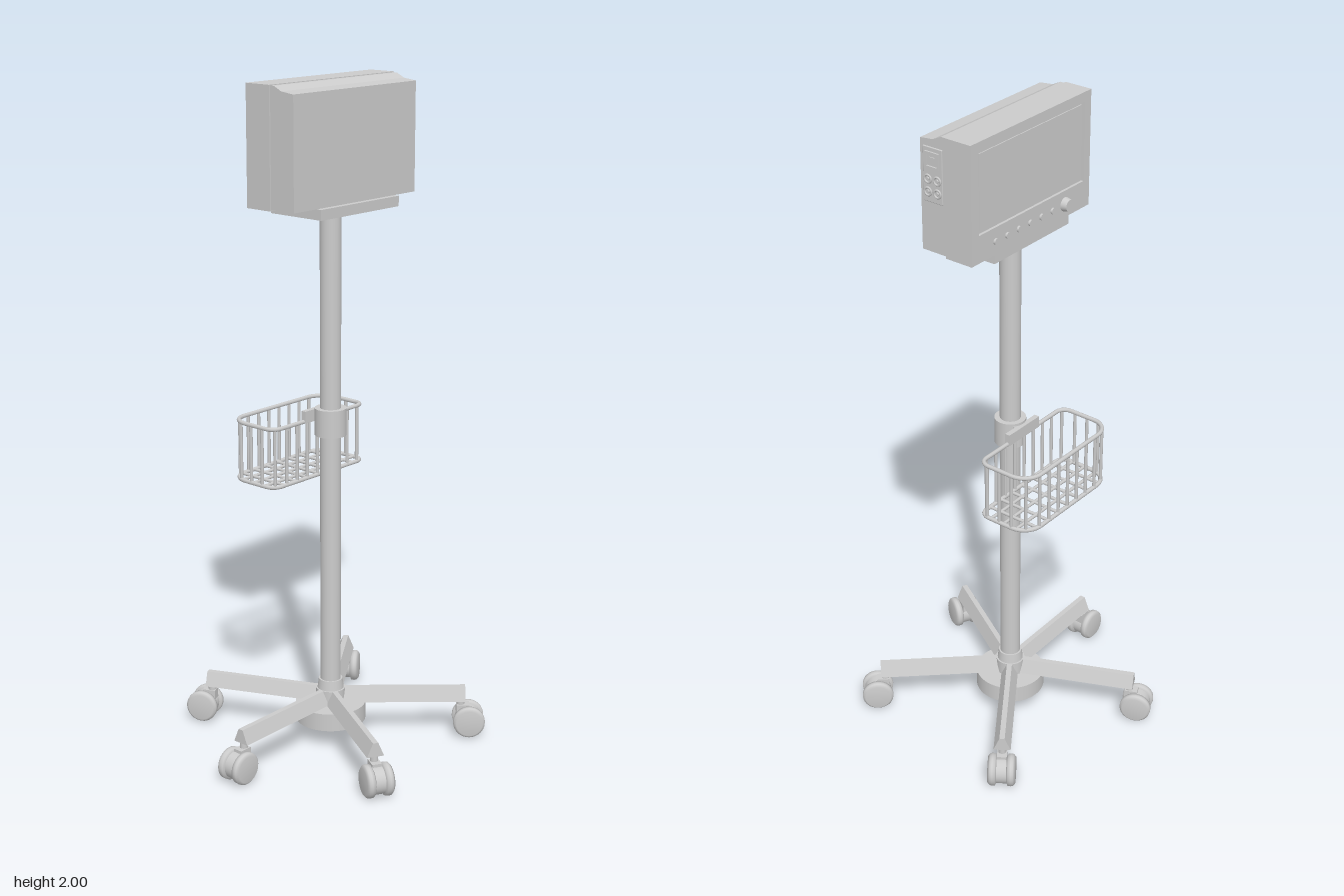
import * as THREE from 'three';
import { RoundedBoxGeometry } from 'three/addons/geometries/RoundedBoxGeometry.js';

const grey = new THREE.MeshStandardMaterial({ color: 0xcccccc });

function add(parent, name, geometry, x = 0, y = 0, z = 0) {
  const mesh = new THREE.Mesh(geometry, grey);
  mesh.name = name;
  mesh.position.set(x, y, z);
  parent.add(mesh);
  return mesh;
}

function group(parent, name) {
  const g = new THREE.Group();
  g.name = name;
  parent.add(g);
  return g;
}

const box = (w, h, d) => new THREE.BoxGeometry(w, h, d);
const cyl = (r, h, n = 32, rTop = r) => new THREE.CylinderGeometry(rTop, r, h, n);

// Extrudes a [z, y] outline across x, centred
function extrudeAcross(outline, width) {
  const shape = new THREE.Shape(outline.map(([z, y]) => new THREE.Vector2(z, y)));
  const g = new THREE.ExtrudeGeometry(shape, { depth: width, bevelEnabled: false });
  return g.translate(0, 0, -width / 2).rotateY(-Math.PI / 2);
}

function rect(path, x0, y0, x1, y1) {
  path.moveTo(x0, y0).lineTo(x1, y0).lineTo(x1, y1).lineTo(x0, y1).closePath();
  return path;
}

// Straight round wire between two points
function wire(parent, name, a, b, r) {
  const curve = new THREE.LineCurve3(new THREE.Vector3(...a), new THREE.Vector3(...b));
  add(parent, name, new THREE.TubeGeometry(curve, 1, r, 8));
}

// Twin-wheel caster, rolling along local z
function caster(parent, z) {
  const c = group(parent, 'caster');
  c.position.set(0, 0.05, z);
  add(c, 'casterStem', cyl(0.012, 0.06, 16), 0, 0.05, -0.025);
  add(c, 'casterHood', cyl(0.041, 0.03).rotateZ(Math.PI / 2));
  add(c, 'casterNeck', box(0.03, 0.03, 0.04), 0, 0.035, -0.018);
  const profile = [[0, -0.014], [0.036, -0.014], [0.048, -0.009], [0.049, 0],
    [0.048, 0.007], [0.04, 0.014], [0, 0.014]].map(p => new THREE.Vector2(...p));
  for (const side of [-1, 1]) {
    const wheel = add(c, 'wheel', new THREE.LatheGeometry(profile, 32), side * 0.028);
    wheel.rotation.z = -side * Math.PI / 2;
  }
}

function buildStand(model) {
  const stand = group(model, 'stand');
  stand.position.z = 0.012;
  add(stand, 'hubDisc', cyl(0.107, 0.055, 48), 0, 0.0875);
  add(stand, 'hubCore', cyl(0.045, 0.05), 0, 0.135);
  add(stand, 'baseCollar', cyl(0.04, 0.03, 32, 0.036), 0, 0.175);
  add(stand, 'pole', cyl(0.031, 1.54), 0, 0.87);
  add(stand, 'clampCollar', cyl(0.047, 0.082), 0, 1.007);

  // Five ridged legs: wheel centre of each as [x, z]
  const feet = [[-0.078, -0.405], [0.402, -0.137], [0.25, 0.338], [-0.16, 0.378], [-0.412, 0.008]];
  for (const [x, z] of feet) {
    const leg = group(stand, 'leg');
    leg.rotation.y = Math.atan2(x, z);
    const reach = Math.hypot(x, z);
    const ridge = new THREE.Shape([[-0.026, 0.117], [0.026, 0.117], [0.008, 0.16], [-0.008, 0.16]]
      .map(p => new THREE.Vector2(...p)));
    add(leg, 'legBeam', new THREE.ExtrudeGeometry(ridge, { depth: reach - 0.012, bevelEnabled: false }));
    caster(leg, reach);
  }
}

function buildBasket(parent) {
  const basket = group(parent, 'basket');
  const W = 0.197, Z0 = 0.05, Z1 = 0.225, R = 0.06, r0 = 0.03, low = 0.832, high = 1.008;

  // Rounded plan outline
  const plan = new THREE.Shape();
  plan.moveTo(-W + r0, Z0).lineTo(W - r0, Z0);
  plan.absarc(W - r0, Z0 + r0, r0, -Math.PI / 2, 0);
  plan.lineTo(W, Z1 - R).absarc(W - R, Z1 - R, R, 0, Math.PI / 2);
  plan.lineTo(-W + R, Z1).absarc(-W + R, Z1 - R, R, Math.PI / 2, Math.PI);
  plan.lineTo(-W, Z0 + r0).absarc(-W + r0, Z0 + r0, r0, Math.PI, Math.PI * 1.5);

  // Rims
  const loop = plan.getSpacedPoints(72).slice(0, 72);
  const curve = new THREE.CatmullRomCurve3(loop.map(p => new THREE.Vector3(p.x, 0, p.y)), true);
  for (const y of [low, high]) {
    add(basket, 'basketRim', new THREE.TubeGeometry(curve, 120, 0.0065, 8, true), 0, y);
  }
  // Side wires
  for (let i = 0; i < 72; i += 3) {
    const p = loop[i];
    wire(basket, 'sideWire', [p.x, low, p.y], [p.x, high, p.y], 0.005);
  }
  // Floor grid, trimmed to the rounded outer corners
  const trim = (v, edge) => {
    const t = Math.max(0, v - (edge - R));
    return R - Math.sqrt(R * R - t * t);
  };
  for (let i = -3; i <= 3; i++) {
    const x = i * 0.05;
    wire(basket, 'floorWire', [x, low, Z0], [x, low, Z1 - trim(Math.abs(x), W)], 0.005);
  }
  for (const z of [0.09, 0.135, 0.18]) {
    const x = W - trim(z, Z1);
    wire(basket, 'floorWire', [-x, low, z], [x, low, z], 0.005);
  }
  // Bracket to the pole
  add(basket, 'basketBracket', box(0.14, 0.036, 0.016), 0, 1.022, 0.05);
  add(basket, 'bracketArm', box(0.05, 0.036, 0.05), 0, 1.022, 0.025);
}

function buildMonitor(parent) {
  const monitor = group(parent, 'monitor');
  const front = 0.082, bottom = 1.658, frameDepth = 0.008;

  // Rear housing with stepped top, front housing
  add(monitor, 'rearHousing', extrudeAcross([[-0.091, bottom + 0.004], [-0.005, bottom + 0.004],
    [-0.005, 1.998], [-0.02, 1.998], [-0.047, 1.985], [-0.091, 1.98]], 0.512));
  add(monitor, 'frontHousing', extrudeAcross([[-0.006, bottom], [front - frameDepth, bottom],
    [front - frameDepth, 2], [-0.006, 2]], 0.52));

  // Screen frame leaves the display recessed
  const frame = rect(new THREE.Shape(), -0.26, bottom, 0.26, 2);
  frame.holes.push(rect(new THREE.Path(), -0.228, 1.738, 0.232, 1.972));
  add(monitor, 'screenFrame', new THREE.ExtrudeGeometry(frame, { depth: frameDepth, bevelEnabled: false }),
    0, 0, front - frameDepth);
  add(monitor, 'screen', box(0.444, 0.218, 0.004), 0.002, 1.855, front - frameDepth + 0.001);

  // Buttons and dial
  for (let i = 0; i < 6; i++) {
    add(monitor, 'button', cyl(0.009, 0.008, 16).rotateX(Math.PI / 2), -0.16 + i * 0.05, 1.698, front + 0.002);
  }
  add(monitor, 'dial', cyl(0.021, 0.02, 32, 0.017).rotateX(Math.PI / 2), 0.147, 1.698, front + 0.008);

  // Connector panel on the end
  const panel = group(monitor, 'connectorPanel');
  panel.position.set(-0.257, 1.885, -0.047);
  add(panel, 'panelPlate', new RoundedBoxGeometry(0.006, 0.155, 0.066, 2, 0.002));
  const ringFrame = rect(new THREE.Shape(), -0.024, 0.02, 0.024, 0.066);
  ringFrame.holes.push(rect(new THREE.Path(), -0.018, 0.026, 0.018, 0.06));
  add(panel, 'socketFrame', new THREE.ExtrudeGeometry(ringFrame, { depth: 0.006, bevelEnabled: false })
    .rotateY(-Math.PI / 2), -0.002);
  add(panel, 'socket', box(0.006, 0.016, 0.016), -0.003, 0.043, 0);
  for (const y of [-0.012, -0.048]) {
    for (const z of [-0.016, 0.016]) {
      add(panel, 'portRing', new THREE.TorusGeometry(0.011, 0.003, 8, 24).rotateY(Math.PI / 2), -0.004, y, z);
      add(panel, 'portPin', cyl(0.005, 0.008, 12).rotateZ(Math.PI / 2), -0.003, y, z);
    }
  }

  // Mounting plate on the pole
  add(monitor, 'mountPlate', box(0.33, 0.03, 0.19), 0, 1.647, -0.013);
}

export function createModel() {
  const model = new THREE.Group();
  model.name = 'monitorStand';
  buildStand(model);
  // Monitor and basket share one heading
  const head = group(model, 'upperAssembly');
  head.rotation.y = -1.988;
  head.position.set(0.003, 0, 0.006);
  buildBasket(head);
  buildMonitor(head);
  return model;
}
